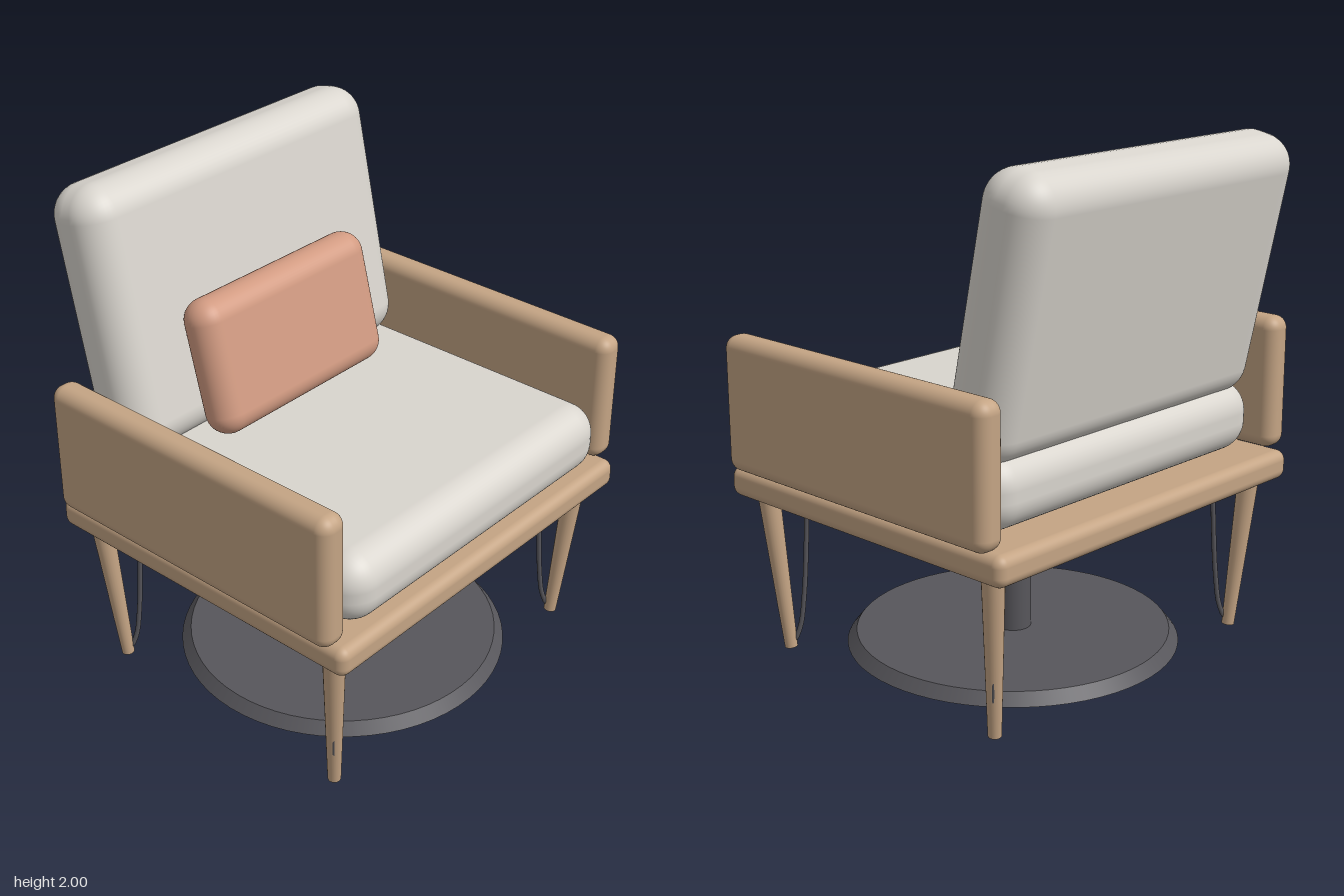
import * as THREE from 'three';
import { RoundedBoxGeometry } from 'three/addons/geometries/RoundedBoxGeometry.js';

const material = (name, color) => {
  const m = new THREE.MeshStandardMaterial({ color });
  m.name = name;
  return m;
};

export function createModel() {
  const wood = material('wood', 0xc4a484);
  const fabric = material('lightFabric', 0xd9d5ce);
  const terracotta = material('terracottaFabric', 0xd29b82);
  const metal = material('darkMetal', 0x57565b);

  const chair = new THREE.Group();
  chair.name = 'armchair';
  const MID = 0.028; // z of the frame centre

  const add = (name, geometry, mat, x, y, z, parent = chair) => {
    const mesh = new THREE.Mesh(geometry, mat);
    mesh.name = name;
    mesh.position.set(x, y, z);
    parent.add(mesh);
    return mesh;
  };
  const softBox = (w, h, d, r) => new RoundedBoxGeometry(w, h, d, 6, r);

  // Wooden platform and side panels
  add('seatFrame', softBox(1.625, 0.117, 1.425, 0.04), wood, 0, 0.684, MID);
  for (const [side, s] of [['left', 1], ['right', -1]]) {
    add(side + 'Armrest', softBox(0.12, 0.525, 1.345, 0.05), wood, s * 0.795, 1.007, MID);
  }

  // Upholstery
  add('seatCushion', softBox(1.47, 0.28, 1.3, 0.12), fabric, 0, 0.883, 0.07);
  add('backCushion', softBox(1.47, 1.03, 0.28, 0.12), fabric, 0, 1.49, -0.523).rotation.x = -0.209;
  add('lumbarPillow', softBox(0.9, 0.53, 0.17, 0.084), terracotta, 0, 1.29, -0.262).rotation.x = -0.25;

  // Swivel pedestal
  add('pedestalPlate', new THREE.CylinderGeometry(0.265, 0.265, 0.028, 48), metal, 0, 0.611, MID);
  add('pedestalPole', new THREE.CylinderGeometry(0.071, 0.071, 0.56, 32), metal, 0, 0.33, MID);
  add('pedestalBase', new THREE.CylinderGeometry(0.615, 0.652, 0.046, 64), metal, 0, 0.03, MID);

  // Tapered, splayed legs, each with a thin hairpin rod curving inward from its foot
  const up = new THREE.Vector3(0, 1, 0);
  for (const [end, sz] of [['front', 1], ['back', -1]]) {
    for (const [side, sx] of [['Left', 1], ['Right', -1]]) {
      const at = (x, y, z) => new THREE.Vector3(sx * x, y, sz * z);
      const corner = new THREE.Group();
      corner.name = end + side + 'LegAssembly';
      corner.position.z = MID;
      chair.add(corner);

      const foot = at(0.674, 0.007, 0.552);
      const top = at(0.721, 0.632, 0.593);
      const axis = top.clone().sub(foot);
      const mid = foot.clone().add(top).multiplyScalar(0.5);
      const leg = add(end + side + 'Leg', new THREE.CylinderGeometry(0.042, 0.025, axis.length(), 24),
        wood, mid.x, mid.y, mid.z, corner);
      leg.quaternion.setFromUnitVectors(up, axis.normalize());

      const path = new THREE.CatmullRomCurve3([
        at(0.72, 0.63, 0.592), at(0.707, 0.22, 0.579), at(0.69, 0.08, 0.562), at(0.672, 0.022, 0.548),
        at(0.648, 0.08, 0.528), at(0.632, 0.22, 0.514), at(0.613, 0.63, 0.497),
      ]);
      add(end + side + 'HairpinRod', new THREE.TubeGeometry(path, 40, 0.01, 10), metal, 0, 0, 0, corner);
    }
  }

  return chair;
}
